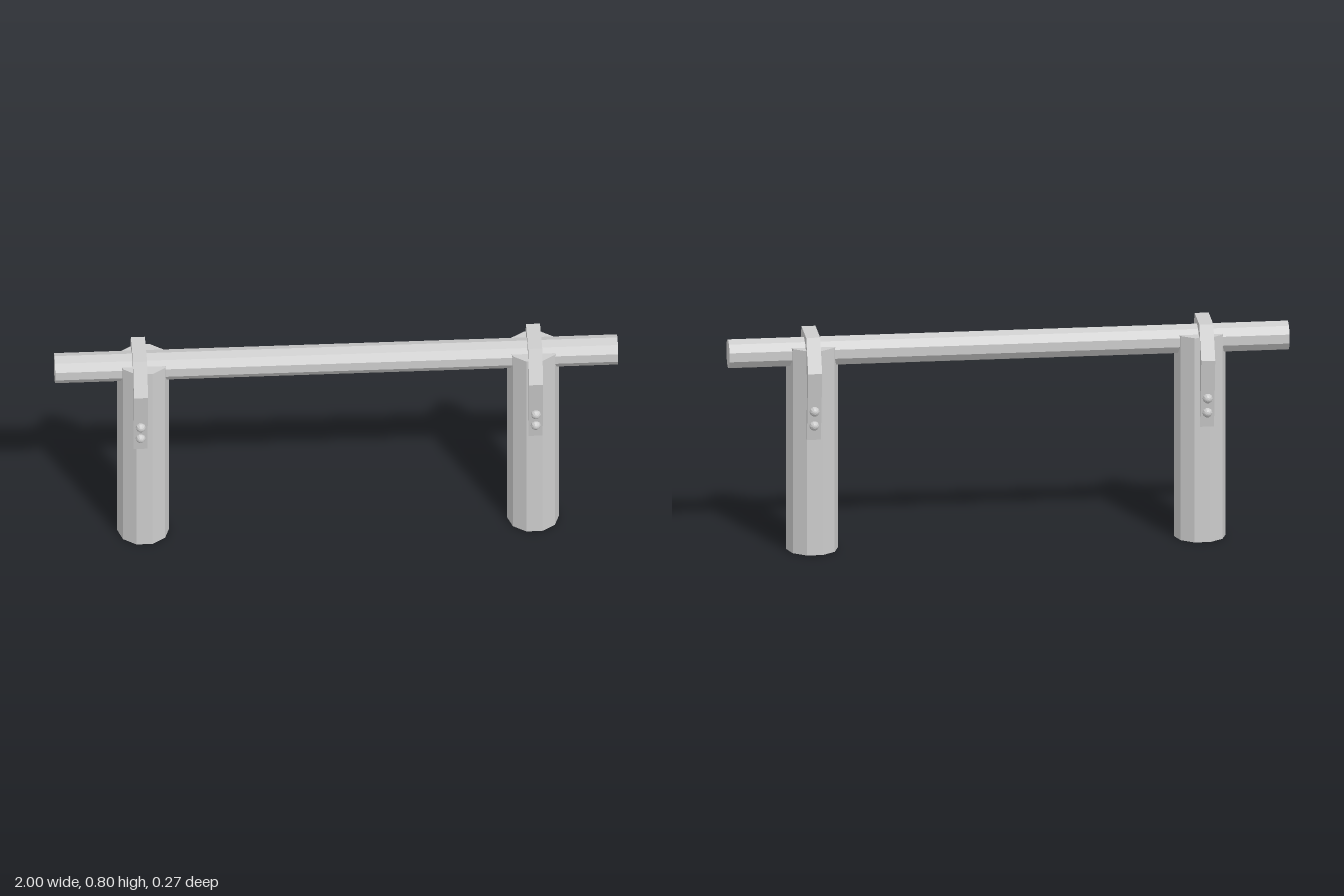
import * as THREE from 'three';

export function createModel() {
  const model = new THREE.Group();
  const grey = new THREE.MeshStandardMaterial({ color: 0xcccccc, flatShading: true });
  grey.name = 'plain grey';

  const add = (parent, name, geometry, x = 0, y = 0, z = 0) => {
    const mesh = new THREE.Mesh(geometry, grey);
    mesh.name = name;
    mesh.position.set(x, y, z);
    parent.add(mesh);
    return mesh;
  };
  // Ten-sided log with a corner pointing along +x
  const log = (radius, length) =>
    new THREE.CylinderGeometry(radius, radius, length, 10, 1, false, Math.PI / 2);

  // Horizontal rail
  add(model, 'rail', log(0.0535, 2).rotateZ(Math.PI / 2), 0, 0.731, 0);

  // Angular strap folded over the rail, tapering down both sides of the post
  const outer = [[0.094, 0.43], [0.133, 0.685], [0.073, 0.802]];
  const inner = [[0.05, 0.77], [0.092, 0.662], [0.085, 0.43]];
  const mirrored = (points) => points.map(([z, y]) => [-z, y]).reverse();
  const outline = [...outer, ...mirrored(outer), ...mirrored(inner), ...inner];
  const strapShape = new THREE.Shape(outline.map(([z, y]) => new THREE.Vector2(z, y)));
  const strapWidth = 0.05;
  const strapGeometry = new THREE.ExtrudeGeometry(strapShape, { depth: strapWidth, bevelEnabled: false })
    .translate(0, 0, -strapWidth / 2)
    .rotateY(-Math.PI / 2);

  const boltGeometry = new THREE.SphereGeometry(0.018, 10, 8).rotateX(Math.PI / 2);

  // Posts, each with its strap and two bolts on either side
  const supports = [
    { name: 'rightSupport', postX: -0.685, strapX: -0.7 },
    { name: 'leftSupport', postX: 0.7, strapX: 0.704 },
  ];
  for (const { name, postX, strapX } of supports) {
    const support = new THREE.Group();
    support.name = name;
    add(support, 'post', log(0.0925, 0.757), postX, 0.3785, 0);
    add(support, 'strap', strapGeometry, strapX);
    for (const side of [1, -1]) {
      add(support, 'upperBolt', boltGeometry, strapX, 0.54, side * 0.113);
      add(support, 'lowerBolt', boltGeometry, strapX, 0.485, side * 0.103);
    }
    model.add(support);
  }
  return model;
}
